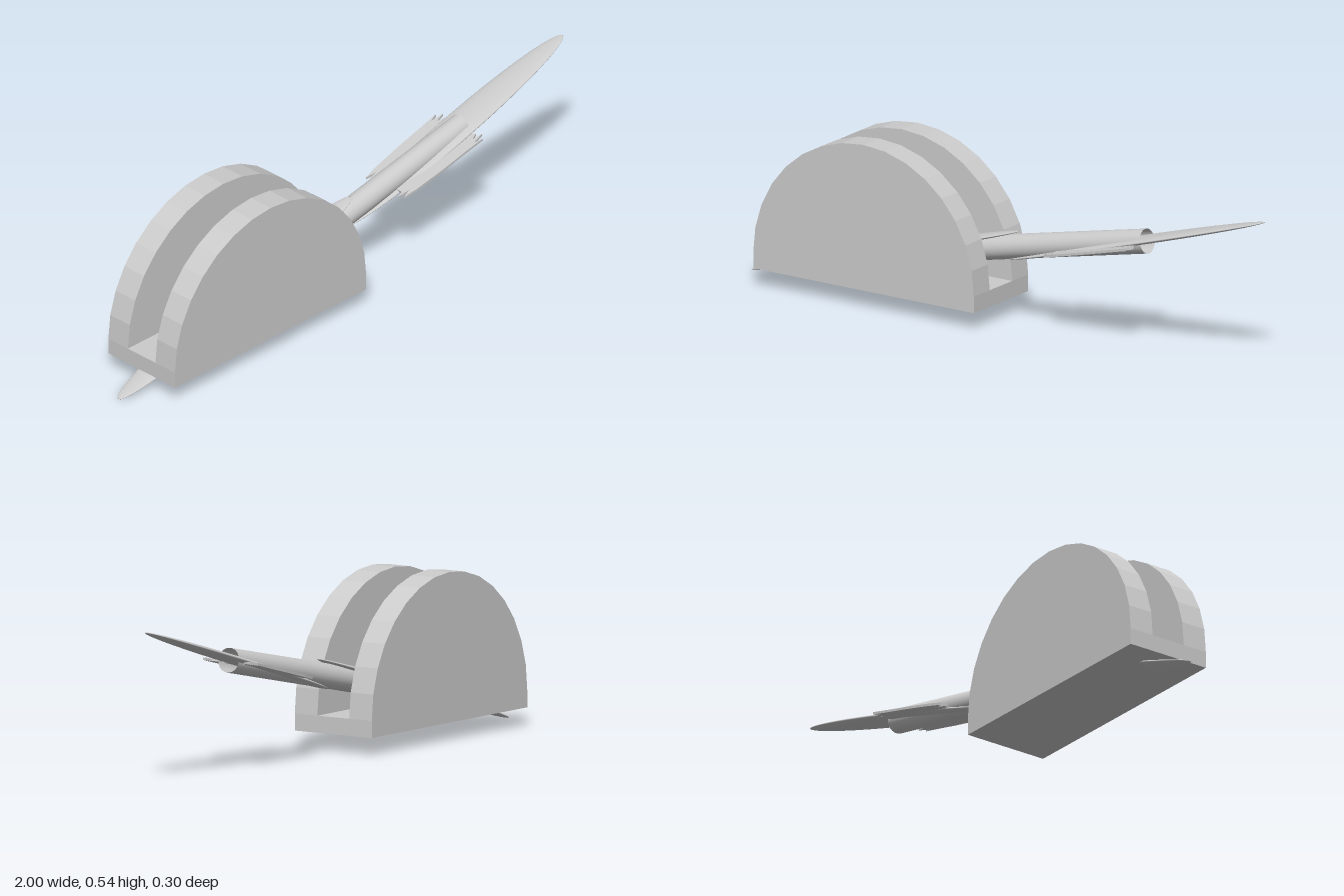
import * as THREE from 'three';

const grey = new THREE.MeshStandardMaterial({ color: 0xcccccc });
const greyFlat = new THREE.MeshStandardMaterial({ color: 0xcccccc, flatShading: true });
const greyOpen = new THREE.MeshStandardMaterial({ color: 0xcccccc, side: THREE.DoubleSide });

function add(parent, name, geometry, material = grey) {
  const mesh = new THREE.Mesh(geometry, material);
  mesh.name = name;
  parent.add(mesh);
  return mesh;
}

// Tilted holder lying along the line from a to b in the x-y plane
function along(parent, name, a, b) {
  const group = new THREE.Group();
  group.name = name;
  group.position.set((a[0] + b[0]) / 2, (a[1] + b[1]) / 2, 0.004);
  group.rotation.z = Math.atan2(b[1] - a[1], b[0] - a[0]);
  parent.add(group);
  return { group, length: Math.hypot(b[0] - a[0], b[1] - a[1]) };
}

function createStand() {
  const stand = new THREE.Group();
  stand.name = 'stand';
  const bottom = 0.06, floor = 0.115, radius = 0.43, cx = -0.46;

  // Side wall outline: short upright foot with a 16-sided half disc above
  const outline = [new THREE.Vector2(cx - radius, bottom), new THREE.Vector2(cx + radius, bottom)];
  for (let i = 0; i <= 16; i++) {
    const t = (i / 16) * Math.PI;
    outline.push(new THREE.Vector2(cx + radius * Math.cos(t), floor + radius * Math.sin(t)));
  }
  const wall = new THREE.ExtrudeGeometry(new THREE.Shape(outline), { depth: 0.088, bevelEnabled: false });
  add(stand, 'frontWall', wall, greyFlat).position.z = 0.062;
  add(stand, 'backWall', wall, greyFlat).position.z = -0.15;

  // Slot floor joining the walls
  add(stand, 'slotFloor', new THREE.BoxGeometry(2 * radius, floor - bottom, 0.124), greyFlat)
    .position.set(cx, (floor + bottom) / 2, 0);
  return stand;
}

// Thin lens-shaped blade
function addBlade(parent, name, a, b) {
  const { group, length } = along(parent, name, a, b);
  const geometry = new THREE.SphereGeometry(1, 32, 24);
  geometry.rotateZ(Math.PI / 2);
  geometry.scale(length / 2, 0.012, 0.062);
  add(group, name + 'Body', geometry);
}

export function createModel() {
  const model = new THREE.Group();
  model.name = 'bladeOnStand';
  model.add(createStand());

  addBlade(model, 'lowerBlade', [-1, 0.002], [0.045, 0.31]);
  addBlade(model, 'upperBlade', [0, 0.21], [1, 0.505]);

  // Hollow handle
  const handle = along(model, 'handle', [-0.495, 0.148], [0.543, 0.364]);
  const tube = new THREE.CylinderGeometry(0.04, 0.04, handle.length, 28, 1, true);
  tube.rotateZ(Math.PI / 2);
  add(handle.group, 'handleTube', tube, greyOpen);

  // Ragged side wings: local x along the slope, second value outward
  const wings = along(model, 'wings', [0.19, 0.272], [0.55, 0.363]);
  const points = [
    [-0.16, 0.03], [-0.16, 0.062], [-0.185, 0.068], [-0.14, 0.076], [-0.175, 0.086],
    [-0.12, 0.094], [0, 0.101], [0.1, 0.103], [0.17, 0.106], [0.14, 0.096],
    [0.185, 0.088], [0.15, 0.08], [0.175, 0.07], [0.15, 0.03],
  ];
  for (const side of [1, -1]) {
    const shape = new THREE.Shape(points.map(([x, z]) => new THREE.Vector2(x, side * z)));
    const wing = new THREE.ExtrudeGeometry(shape, { depth: 0.008, bevelEnabled: false });
    wing.translate(0, 0, -0.004);
    wing.rotateX(Math.PI / 2);
    add(wings.group, side > 0 ? 'frontWing' : 'backWing', wing, greyFlat);
  }
  return model;
}
